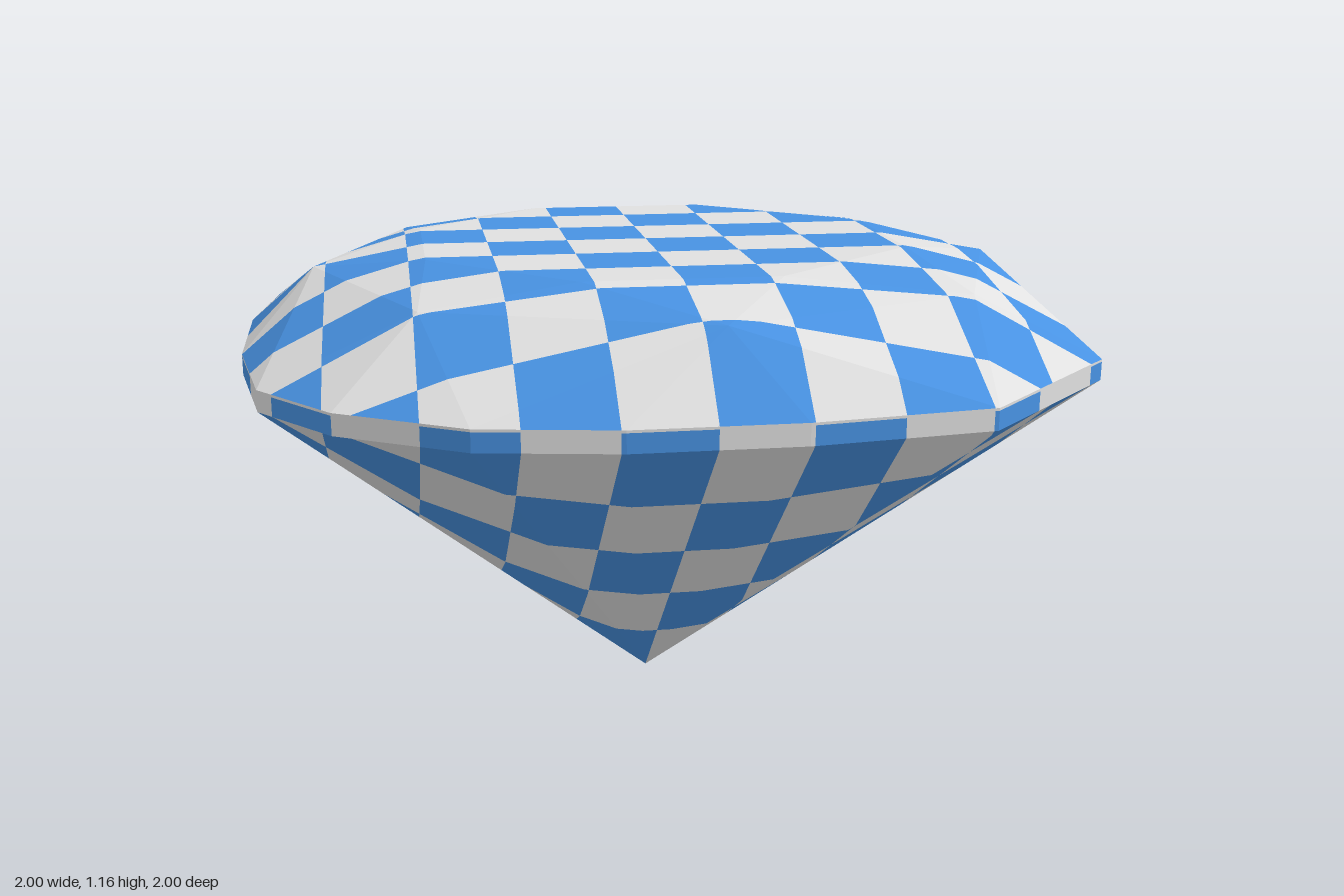
import * as THREE from 'three';
import { ConvexGeometry } from 'three/addons/geometries/ConvexGeometry.js';

const CELL = 0.2;
const RIM = 0.939; // a thin light line runs around the girdle above this height

// Girdle outline as [x, z]: rounded on the left, more coarsely cut on the right
const OUTLINE = [
  [0.19, 1], [0.61, 0.945], [1, 0.555], [1, -0.555], [0.61, -0.945], [0.19, -1],
  [-0.19, -1], [-0.5, -0.945], [-0.78, -0.775], [-0.945, -0.555], [-1, -0.2],
  [-1, 0.2], [-0.945, 0.555], [-0.78, 0.775], [-0.5, 0.945], [-0.19, 1],
];
// Crown break points and the flat table
const CROWN = [
  [0.885, 0], [0.67, 0.58], [0.05, 0.83], [-0.59, 0.59],
  [-0.83, 0], [-0.59, -0.59], [0.02, -0.83], [0.67, -0.58],
];
const TABLE = [
  [0.615, 0.22], [0.23, 0.56], [-0.23, 0.56], [-0.56, 0.23],
  [-0.56, -0.23], [-0.23, -0.56], [0.23, -0.56], [0.615, -0.22],
];

const ring = (points, y) => points.map(([x, z]) => new THREE.Vector3(x, y, z));

// Keep the part of a polygon where sign * (p[axis] - limit) >= 0
function clip(poly, axis, limit, sign) {
  const out = [];
  poly.forEach((a, i) => {
    const b = poly[(i + 1) % poly.length];
    const da = sign * (a[axis] - limit);
    const db = sign * (b[axis] - limit);
    if (da >= 0) out.push(a);
    if ((da > 0 && db < 0) || (da < 0 && db > 0)) out.push(a.clone().lerp(b, da / (da - db)));
  });
  return out;
}

// Add a polygon to a list of coordinates as a triangle fan
function addPolygon(poly, list) {
  for (let n = 1; n < poly.length - 1; n++) {
    const corners = [poly[0], poly[n], poly[n + 1]];
    if (new THREE.Triangle(...corners).getArea() < 1e-9) continue;
    for (const p of corners) list.push(p.x, p.y, p.z);
  }
}

// Cut a facet into checker cells and collect them by colour
function addFacet(poly, parity, buckets) {
  for (let i = -5; i < 5; i++) {
    const strip = clip(clip(poly, 'x', i * CELL, 1), 'x', (i + 1) * CELL, -1);
    if (strip.length < 3) continue;
    for (let k = -5; k < 5; k++) {
      const cell = clip(clip(strip, 'z', k * CELL, 1), 'z', (k + 1) * CELL, -1);
      addPolygon(cell, buckets[Math.abs(parity(i, k)) % 2]);
    }
  }
}

// Checker rule on the girdle: the pattern runs along the axis the facet faces least
function girdleRule(normal) {
  if (Math.abs(normal.x) > Math.abs(normal.z) - 0.01) return (i, k) => (normal.x > 0 ? k : k + 1);
  return (i) => (normal.z > 0 ? i + 1 : i);
}

export function createModel() {
  const blue = new THREE.MeshStandardMaterial({ color: 0x4892e2 });
  blue.name = 'blue';
  const grey = new THREE.MeshStandardMaterial({ color: 0xe0e0e0 });
  grey.name = 'light grey';

  // The cut stone is the convex hull of its rings and bottom tip
  const hull = new ConvexGeometry([
    new THREE.Vector3(0, 0, 0),
    ...ring(OUTLINE, 0.895), ...ring(OUTLINE, 0.945),
    ...ring(CROWN, 1.115), ...ring(TABLE, 1.165),
  ]);
  const pos = hull.getAttribute('position');

  // Sort the facets into crown, girdle and pavilion by their slope
  const parts = { crown: [[], []], girdle: [[], []], pavilion: [[], []] };
  const normal = new THREE.Vector3();
  for (let i = 0; i < pos.count; i += 3) {
    const tri = [0, 1, 2].map((j) => new THREE.Vector3().fromBufferAttribute(pos, i + j));
    THREE.Triangle.getNormal(tri[0], tri[1], tri[2], normal);
    if (normal.y > 0.05) {
      addFacet(tri, (a, b) => a + b, parts.crown);
    } else if (normal.y < -0.05) {
      // The underside carries the opposite checker
      addFacet(tri, (a, b) => a + b + 1, parts.pavilion);
    } else {
      addFacet(clip(tri, 'y', RIM, -1), girdleRule(normal), parts.girdle);
      addPolygon(clip(tri, 'y', RIM, 1), parts.girdle[1]);
    }
  }

  const gem = new THREE.Group();
  gem.name = 'gem';
  for (const [name, [even, odd]] of Object.entries(parts)) {
    const geo = new THREE.BufferGeometry();
    geo.setAttribute('position', new THREE.Float32BufferAttribute(even.concat(odd), 3));
    geo.addGroup(0, even.length / 3, 0);
    geo.addGroup(even.length / 3, odd.length / 3, 1);
    geo.computeVertexNormals();
    const mesh = new THREE.Mesh(geo, [blue, grey]);
    mesh.name = name;
    gem.add(mesh);
  }
  return gem;
}
